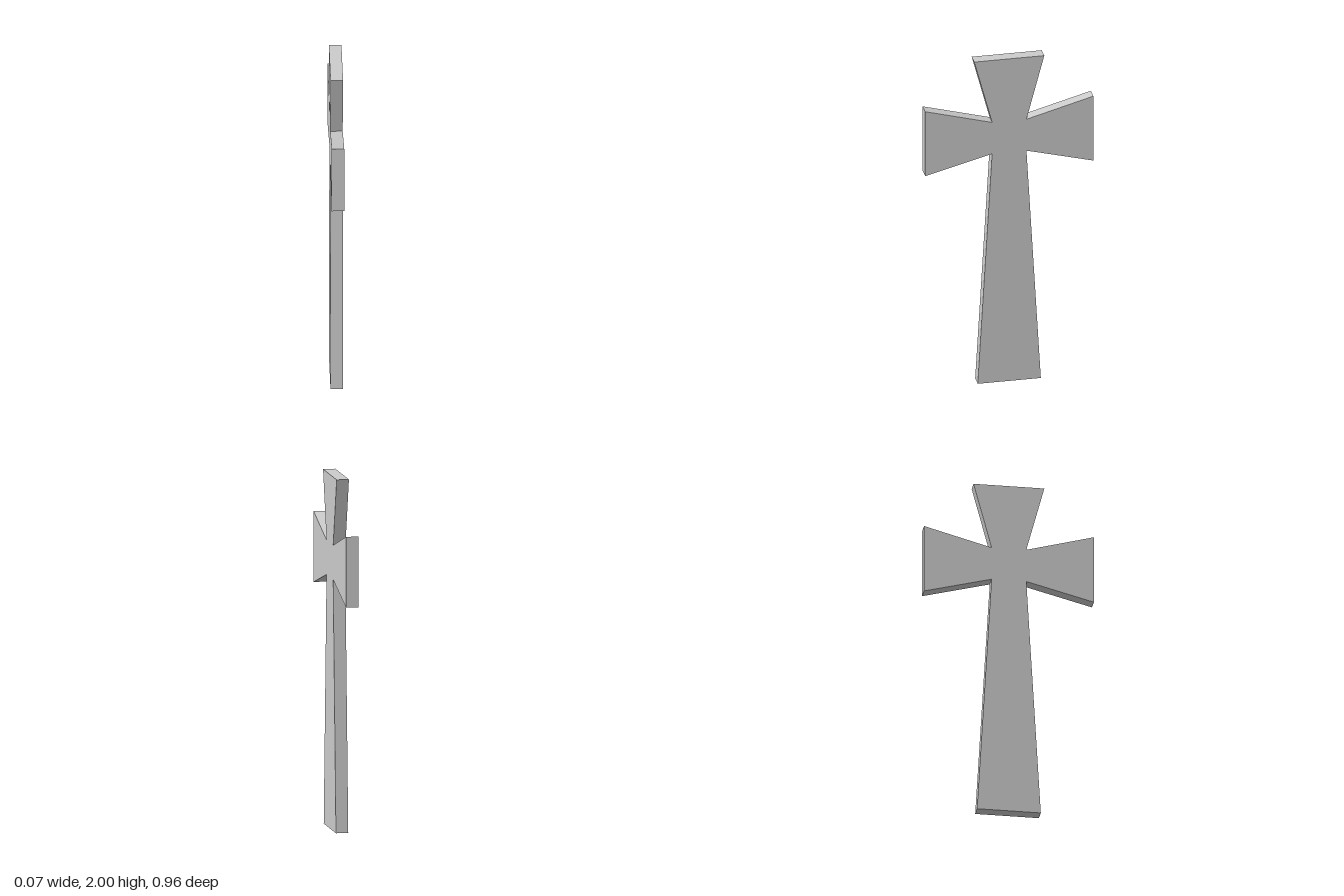
import * as THREE from 'three';

export function createModel() {
  const group = new THREE.Group();
  const thickness = 0.07;

  // Half outline from the foot up to the top: [half width, height]
  const half = [
    [0.18, 0], [0.098, 1.42], [0.48, 1.32],
    [0.48, 1.72], [0.098, 1.615], [0.2, 2],
  ];
  const mirrored = half.map(([w, y]) => [-w, y]).reverse();
  const outline = [...half, ...mirrored].map(([w, y]) => new THREE.Vector2(w, y));

  // Flat slab with flared arms, turned so its broad faces look along x
  const geometry = new THREE.ExtrudeGeometry(new THREE.Shape(outline), {
    depth: thickness, bevelEnabled: false,
  });
  geometry.translate(0, 0, -thickness / 2);
  geometry.rotateY(Math.PI / 2);

  const cross = new THREE.Mesh(
    geometry,
    new THREE.MeshStandardMaterial({ color: 0xcccccc, flatShading: true }),
  );
  cross.name = 'flaredCross';
  group.add(cross);
  return group;
}
